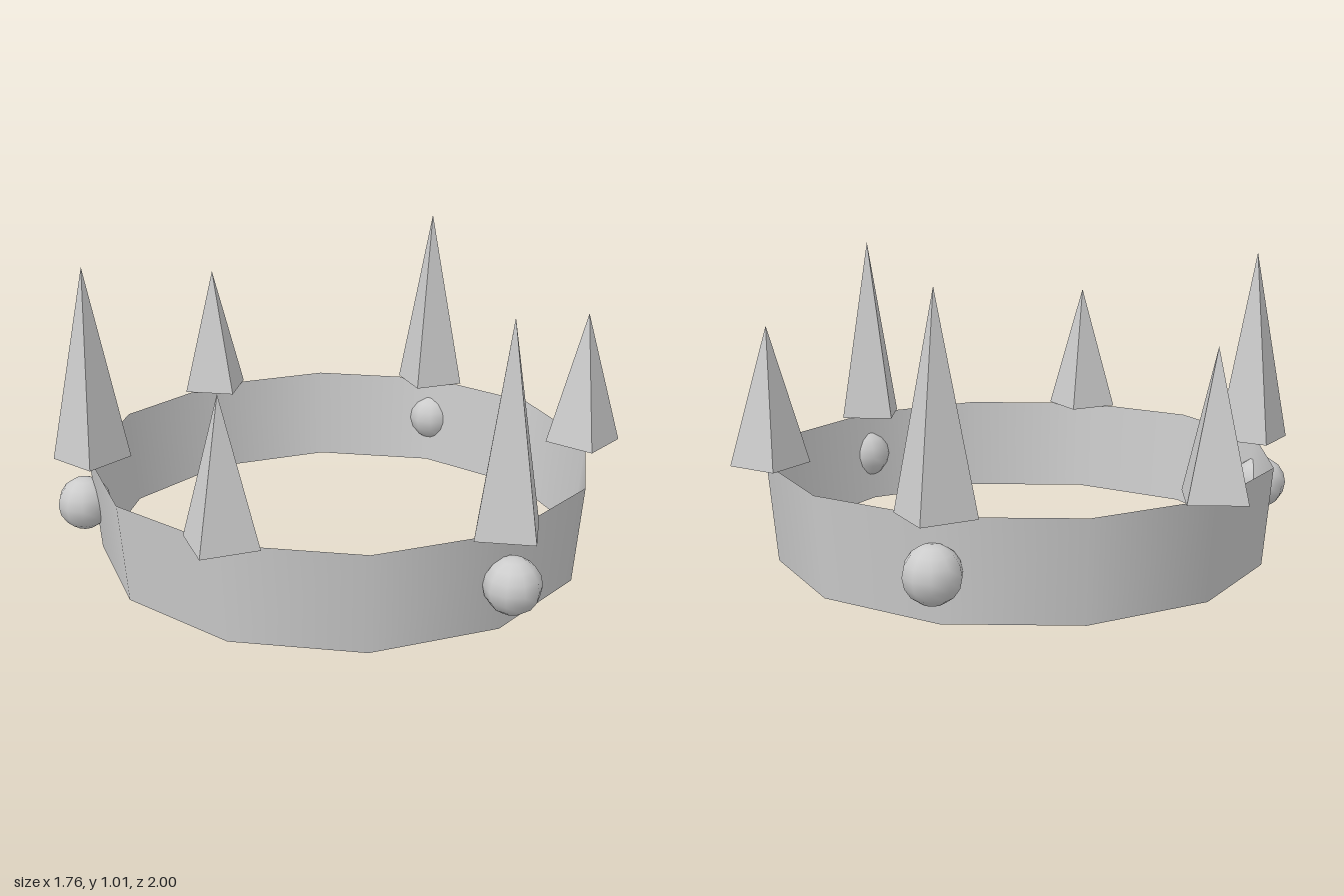
import * as THREE from 'three';

export function createModel() {
  const crown = new THREE.Group();
  crown.name = 'crown';

  const metal = new THREE.MeshStandardMaterial({ color: 0xcccccc });
  metal.name = 'paleGrey';
  metal.side = THREE.DoubleSide;
  // Same grey, faceted for the spikes
  const facetedMetal = metal.clone();
  facetedMetal.flatShading = true;

  const bandHeight = 0.34;
  const spikeRadius = 0.133;

  // Thin open band, flaring slightly towards the top
  const band = new THREE.Mesh(
    new THREE.CylinderGeometry(0.88, 0.85, bandHeight, 12, 1, true), metal);
  band.name = 'band';
  band.position.y = bandHeight / 2;
  crown.add(band);

  // Six four-sided spikes, tall and short in turn; a gem sits below each tall one
  for (let i = 0; i < 6; i++) {
    const tall = i % 2 === 0;
    const height = tall ? 0.675 : 0.47;
    const station = new THREE.Group();
    station.name = tall ? 'tallPoint' : 'shortPoint';
    station.rotation.y = (i * Math.PI) / 3;

    const spike = new THREE.Mesh(
      new THREE.ConeGeometry(spikeRadius, height, 4), facetedMetal);
    spike.name = 'spike';
    spike.position.set(0, bandHeight + height / 2, 0.867);
    station.add(spike);

    if (tall) {
      const gem = new THREE.Mesh(new THREE.SphereGeometry(0.093, 10, 8), metal);
      gem.name = 'gem';
      gem.position.set(0, 0.172, 0.903);
      station.add(gem);
    }
    crown.add(station);
  }

  return crown;
}
